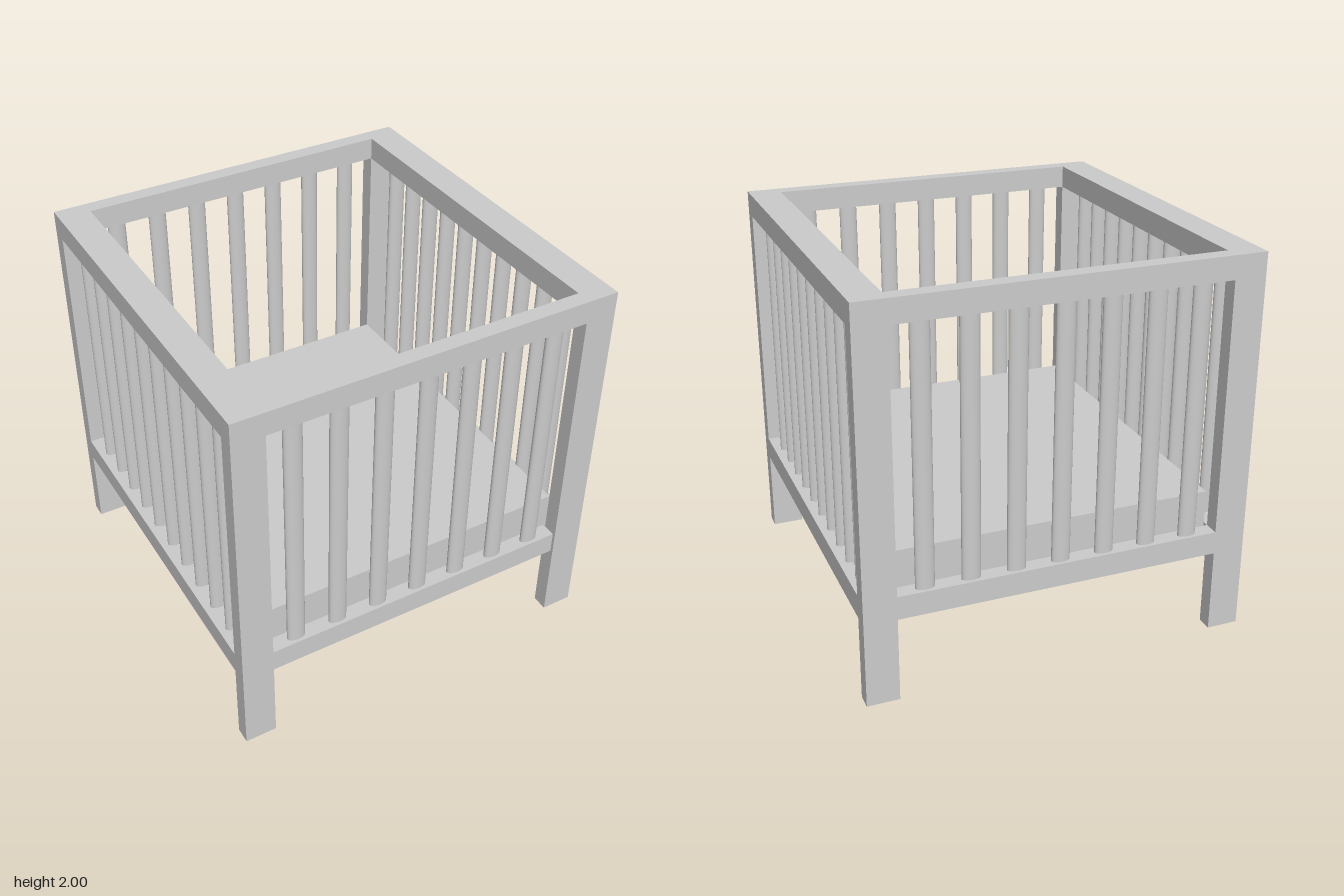
import * as THREE from 'three';

const material = new THREE.MeshStandardMaterial({ color: 0xcccccc });

// Inner edges of the corner posts, and rail heights
const IX = 0.835, IZ = 0.917;
const CX = (1 + IX) / 2, CZ = (1 + IZ) / 2;
const LOW = [0.44, 0.56], TOP = [1.88, 2];

function box(name, [x0, x1], [y0, y1], [z0, z1]) {
  const mesh = new THREE.Mesh(new THREE.BoxGeometry(x1 - x0, y1 - y0, z1 - z0), material);
  mesh.position.set((x0 + x1) / 2, (y0 + y1) / 2, (z0 + z1) / 2);
  mesh.name = name;
  return mesh;
}

// Oval bar standing between the lower and upper rails
const slatGeometry = new THREE.CylinderGeometry(1, 1, TOP[0] - LOW[1], 32);
slatGeometry.scale(0.048, 1, 0.025);

function slat(name, x, z) {
  const mesh = new THREE.Mesh(slatGeometry, material);
  mesh.position.set(x, (TOP[0] + LOW[1]) / 2, z);
  mesh.name = name;
  return mesh;
}

export function createModel() {
  const group = new THREE.Group();
  group.name = 'crib';
  const span = (s, a) => (s > 0 ? [a, 1] : [-1, -a]);

  // Corner posts
  for (const sx of [-1, 1])
    for (const sz of [-1, 1])
      group.add(box('cornerPost', span(sx, IX), [0, 2], span(sz, IZ)));

  // Front and back panels; the lower front rail stops just short of its post
  for (const s of [1, -1]) {
    const panel = new THREE.Group();
    panel.name = s > 0 ? 'frontPanel' : 'backPanel';
    panel.add(box('topRail', [-IX, IX], TOP, span(s, IZ)));
    panel.add(box('lowerRail', [-IX, s > 0 ? 0.82 : IX], LOW, span(s, IZ)));
    for (let i = 0; i < 7; i++) panel.add(slat('slat', -0.69 + i * 0.2293, s * CZ));
    group.add(panel);
  }

  // Side panels
  for (const s of [1, -1]) {
    const panel = new THREE.Group();
    panel.name = s > 0 ? 'leftPanel' : 'rightPanel';
    panel.add(box('topRail', span(s, IX), TOP, [-IZ, IZ]));
    panel.add(box('lowerRail', span(s, IX), LOW, [-IZ, IZ]));
    for (let i = 0; i < 10; i++) panel.add(slat('slat', s * CX, 0.755 - i * 0.1693));
    group.add(panel);
  }

  // Mattress, set against the left side
  group.add(box('mattress', [-0.815, IX], [0.47, 0.755], [-IZ, IZ]));
  return group;
}
